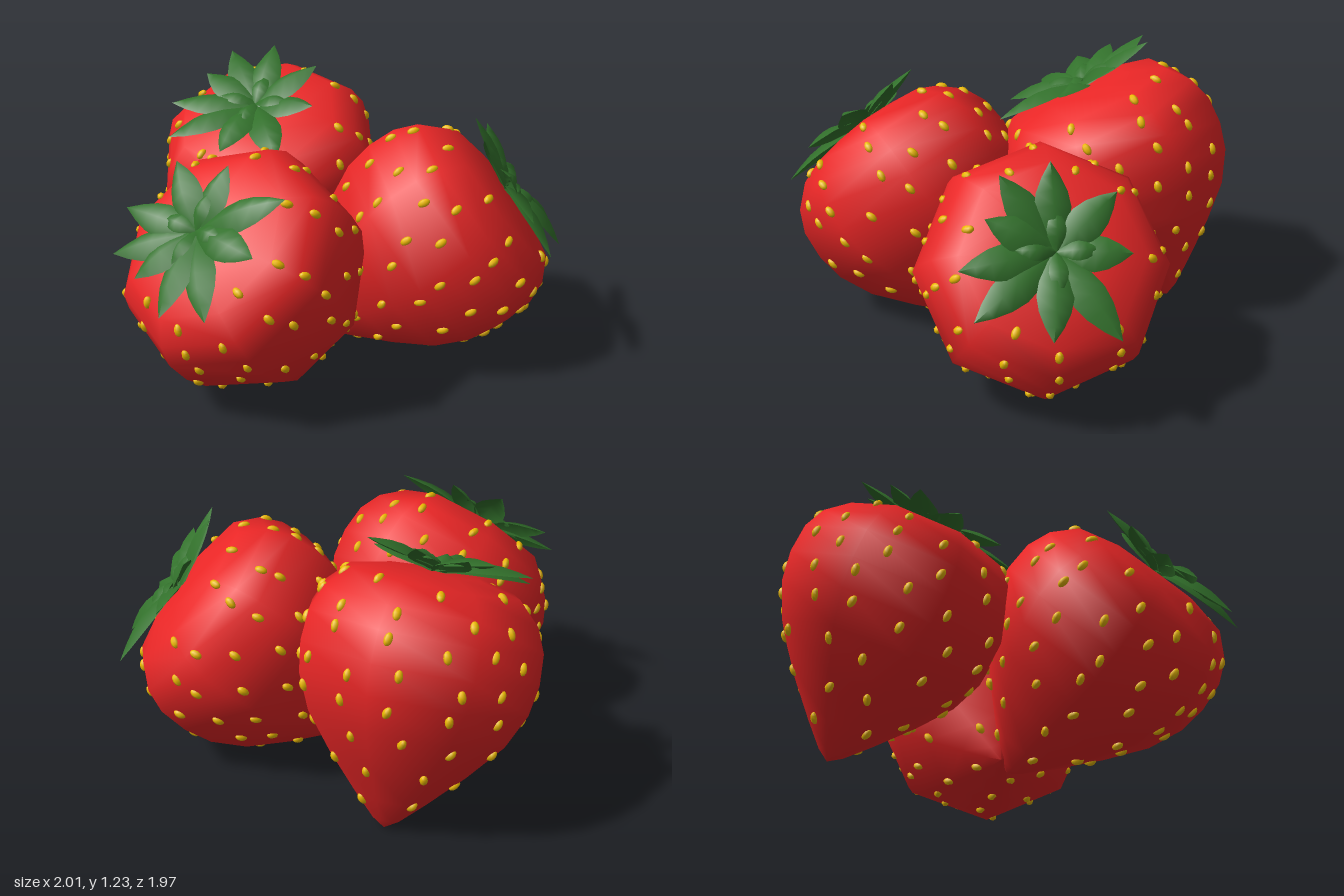
import * as THREE from 'three';
import { mergeGeometries } from 'three/addons/utils/BufferGeometryUtils.js';

const SIDES = 8;
const SECTOR = (Math.PI * 2) / SIDES;

// Berry profile from tip to crown: [radius, height along the axis]
const PROFILE = [
  [0, 0], [0.06, 0.04], [0.16, 0.14], [0.31, 0.3], [0.44, 0.46], [0.51, 0.61],
  [0.53, 0.74], [0.52, 0.87], [0.475, 0.97], [0.38, 1.06], [0.2, 1.1], [0, 1.1],
];

// Main leaves: [direction in degrees, length, lift of the point]
const LEAVES = [
  [152, 0.43, 0.01], [124, 0.4, 0.04], [90, 0.31, 0.06], [60, 0.37, 0.08], [26, 0.35, 0.08],
  [-24, 0.33, 0.07], [-70, 0.3, 0.05], [-123, 0.43, 0.02], [-162, 0.36, 0.02],
];

// Seed rows: [height, count]
const SEED_ROWS = [
  [0.13, 4], [0.27, 8], [0.41, 11], [0.55, 13], [0.69, 14], [0.82, 14], [0.94, 12], [1.04, 9],
];

function seeded(seed) {
  return () => (seed = (seed * 16807) % 2147483647) / 2147483647;
}

// Octagonal body with its facets centred on the frame axes
function bodyGeometry() {
  const points = PROFILE.map(([r, y]) => new THREE.Vector2(r, y));
  return new THREE.LatheGeometry(points, SIDES, SECTOR / 2);
}

// Radius and slope of the profile at a height
function profileAt(y) {
  const i = PROFILE.findIndex((p) => p[1] >= y);
  const [r0, y0] = PROFILE[i - 1];
  const [r1, y1] = PROFILE[i];
  return { r: r0 + ((r1 - r0) * (y - y0)) / (y1 - y0), dr: r1 - r0, dy: y1 - y0 };
}

// Seeds set in staggered rows, lying along the surface
function seedGeometry() {
  const rand = seeded(77);
  const parts = [];
  SEED_ROWS.forEach(([rowY, count], row) => {
    for (let k = 0; k < count; k++) {
      const y = rowY + (rand() - 0.5) * 0.05;
      const a = ((k + (row % 2) * 0.5 + (rand() - 0.5) * 0.35) / count) * Math.PI * 2;
      const { r, dr, dy } = profileAt(y);
      // distance to the flat facet at this angle
      const facet = Math.round(a / SECTOR) * SECTOR;
      const flatR = (r * Math.cos(SECTOR / 2)) / Math.cos(a - facet);
      const up = new THREE.Vector3(Math.sin(facet) * dr, dy, Math.cos(facet) * dr).normalize();
      const side = new THREE.Vector3(Math.cos(facet), 0, -Math.sin(facet));
      const out = new THREE.Vector3().crossVectors(side, up);
      const m = new THREE.Matrix4().makeBasis(side, up, out);
      m.setPosition(Math.sin(a) * flatR, y, Math.cos(a) * flatR);
      const seed = new THREE.SphereGeometry(1, 7, 6);
      seed.scale(0.018, 0.028, 0.018);
      seed.rotateZ((rand() - 0.5) * 0.5);
      parts.push(seed.applyMatrix4(m));
    }
  });
  return mergeGeometries(parts);
}

// Pointed leaf along +x, with a raised midrib, an arched spine and a lifted point
function leafGeometry(length, width, rise, lift) {
  const stations = 6;
  const geo = new THREE.PlaneGeometry(1, 1, stations, 2);
  const pos = geo.attributes.position;
  const halfWidths = [0.25, 0.55, 0.88, 1, 0.85, 0.5, 0];
  for (let i = 0; i < pos.count; i++) {
    const u = pos.getX(i) + 0.5;
    const s = pos.getY(i) * 2;
    const half = halfWidths[Math.round(u * stations)] * width;
    const spine = rise * Math.sin(Math.PI * u) + lift * u * u;
    pos.setXYZ(i, u * length, spine - Math.abs(s) * half * 0.55, -s * half);
  }
  geo.computeVertexNormals();
  return geo;
}

// Ring of large leaves with a small upright tuft in the middle
function crownGeometry() {
  const parts = LEAVES.map(([deg, length, lift], i) => {
    const leaf = leafGeometry(length, 0.075, 0.05, lift);
    leaf.rotateY(THREE.MathUtils.degToRad(deg));
    return leaf.translate(0, 1.105 + (i % 3) * 0.008, 0);
  });
  for (let i = 0; i < 4; i++) {
    const leaf = leafGeometry(0.17, 0.04, 0.04, 0.03);
    leaf.rotateY(0.4 + (i * Math.PI) / 2);
    parts.push(leaf.translate(0, 1.125, 0));
  }
  return mergeGeometries(parts);
}

export function createModel() {
  const model = new THREE.Group();
  model.name = 'strawberries';

  const red = new THREE.MeshStandardMaterial({ color: 0xe92626 });
  const green = new THREE.MeshStandardMaterial({ color: 0x33722c, side: THREE.DoubleSide });
  const yellow = new THREE.MeshStandardMaterial({ color: 0xeebc00 });

  const parts = [
    ['flesh', bodyGeometry(), red],
    ['seeds', seedGeometry(), yellow],
    ['leafCrown', crownGeometry(), green],
  ];

  // Three copies: tip position, axis from tip to crown, spin about the axis
  const berries = [
    ['backStrawberry', [0.545, 0.0, -0.575], [-0.38, 0.92, 0.115], 0],
    ['leftFrontStrawberry', [0.05, 0.07, 0.0], [0.553, 0.623, 0.553], 108],
    ['rightStrawberry', [0.08, 0.035, 0.08], [-0.72, 0.69, 0.015], 70],
  ];
  const up = new THREE.Vector3(0, 1, 0);
  for (const [name, tip, axis, spin] of berries) {
    const berry = new THREE.Group();
    berry.name = name;
    for (const [partName, geometry, material] of parts) {
      const mesh = new THREE.Mesh(geometry, material);
      mesh.name = partName;
      berry.add(mesh);
    }
    berry.position.set(...tip);
    berry.quaternion.setFromUnitVectors(up, new THREE.Vector3(...axis).normalize());
    berry.rotateY(THREE.MathUtils.degToRad(spin));
    model.add(berry);
  }
  return model;
}
